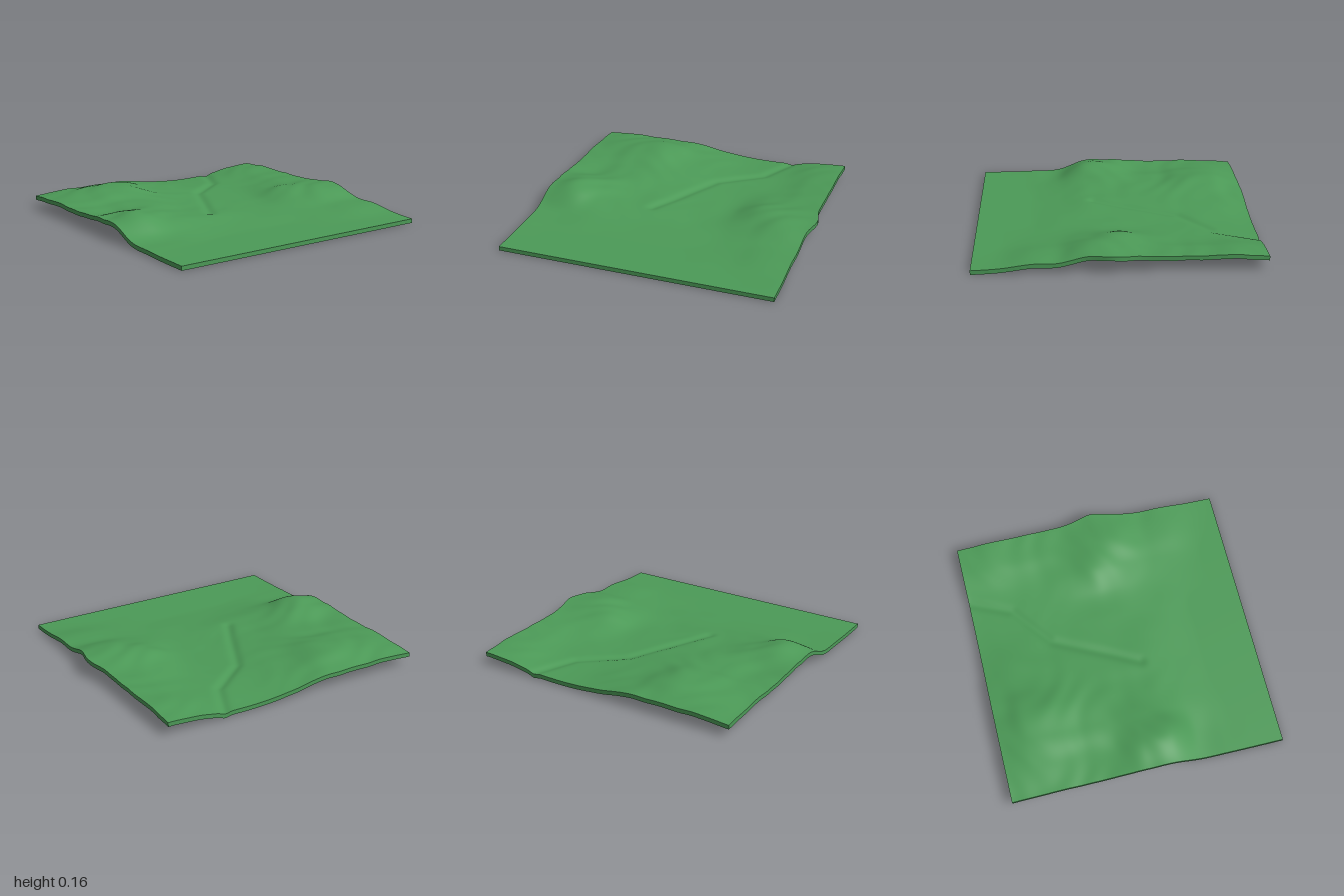
import * as THREE from 'three';

// Coarse survey of ground heights in hundredths, rows from back to front, columns from -x to +x
const HEIGHTS = [
  [9, 10, 10, 10, 9.5, 6.5, 4.5, 4, 5, 8, 9],
  [10, 12, 14, 15, 10.5, 8, 5.5, 5, 6, 9.5, 10.5],
  [10.5, 12, 14.5, 15, 10, 7.5, 6, 5.5, 6, 9, 10.5],
  [10, 10, 11, 11.5, 9.5, 7, 5.5, 5.5, 6.5, 9, 10.5],
  [11, 9.5, 11, 10, 8, 6.5, 5.5, 5.5, 9, 10, 10.5],
  [12, 15, 12.5, 8.5, 7.5, 6, 5.5, 6, 12.5, 13, 12],
  [11.5, 15.5, 10.5, 8, 7, 6, 5, 6, 9.5, 13, 12],
  [4.5, 5, 5.5, 5, 4.5, 4.5, 4.5, 4.5, 6, 7.5, 7],
  [3.5, 3.2, 3.2, 3, 3, 3, 3, 3.5, 4.5, 6.5, 6.5],
  [3, 3, 3, 3, 3, 3, 3, 3, 3, 3.5, 4],
  [3, 3, 3, 3, 3, 3, 3, 3, 3, 3, 3],
];
const SIZE = 1.96, THICK = 0.03, X0 = -1, Z0 = -0.98;

// Course of the shallow stream bed
const STREAM = [[-0.2, 0.14], [-0.1, -0.05], [0.1, -0.45], [0.4, -0.68], [0.54, -0.98]];

// Catmull-Rom through equally spaced values
function spline(v, t) {
  const i = Math.min(Math.floor(t), v.length - 2), f = t - i;
  const at = (k) => v[Math.max(0, Math.min(v.length - 1, k))];
  const [a, b, c, d] = [at(i - 1), at(i), at(i + 1), at(i + 2)];
  return b + 0.5 * f * (c - a + f * (2 * a - 5 * b + 4 * c - d + f * (3 * (b - c) + d - a)));
}

function streamDistance(x, z) {
  let best = Infinity;
  for (let i = 0; i < STREAM.length - 1; i++) {
    const [ax, az] = STREAM[i], [bx, bz] = STREAM[i + 1];
    const dx = bx - ax, dz = bz - az;
    const t = THREE.MathUtils.clamp(((x - ax) * dx + (z - az) * dz) / (dx * dx + dz * dz), 0, 1);
    best = Math.min(best, Math.hypot(x - ax - t * dx, z - az - t * dz));
  }
  return best;
}

function groundHeight(x, z) {
  const u = THREE.MathUtils.clamp((x - X0) / SIZE, 0, 1) * 10;
  const w = THREE.MathUtils.clamp((z - Z0) / SIZE, 0, 1) * 10;
  let h = spline(HEIGHTS.map((row) => spline(row, u)), w) / 100;
  // Stream bed, and gentle wrinkles that grow with height
  h -= 0.014 * Math.exp(-((streamDistance(x, z) / 0.035) ** 2));
  const rough = THREE.MathUtils.smoothstep(h, 0.035, 0.12);
  h += 0.004 * rough * Math.sin(13 * x + 3 * Math.sin(7 * z)) * Math.sin(17 * z + 2 * Math.sin(9 * x));
  return Math.max(h, THICK);
}

export function createModel() {
  const group = new THREE.Group();
  group.name = 'landscape';

  // Thin slab whose top and underside both follow the ground
  const geometry = new THREE.BoxGeometry(SIZE, THICK, SIZE, 120, 1, 120);
  geometry.translate(X0 + SIZE / 2, 0, Z0 + SIZE / 2);
  const p = geometry.attributes.position;
  for (let i = 0; i < p.count; i++) {
    const x = p.getX(i), z = p.getZ(i);
    const h = groundHeight(x, z);
    // The hill on the +x side swells beyond the edge
    const swell = 0.04 * Math.exp(-(((z - 0.05) / 0.13) ** 2)) * THREE.MathUtils.smoothstep(x, 0.75, 0.96);
    p.setXYZ(i, x + swell, h + (p.getY(i) > 0 ? 0 : -THICK), z);
  }
  geometry.computeVertexNormals();

  const terrain = new THREE.Mesh(geometry, new THREE.MeshStandardMaterial({ color: 0x4c9a57 }));
  terrain.name = 'terrain';
  group.add(terrain);
  return group;
}
